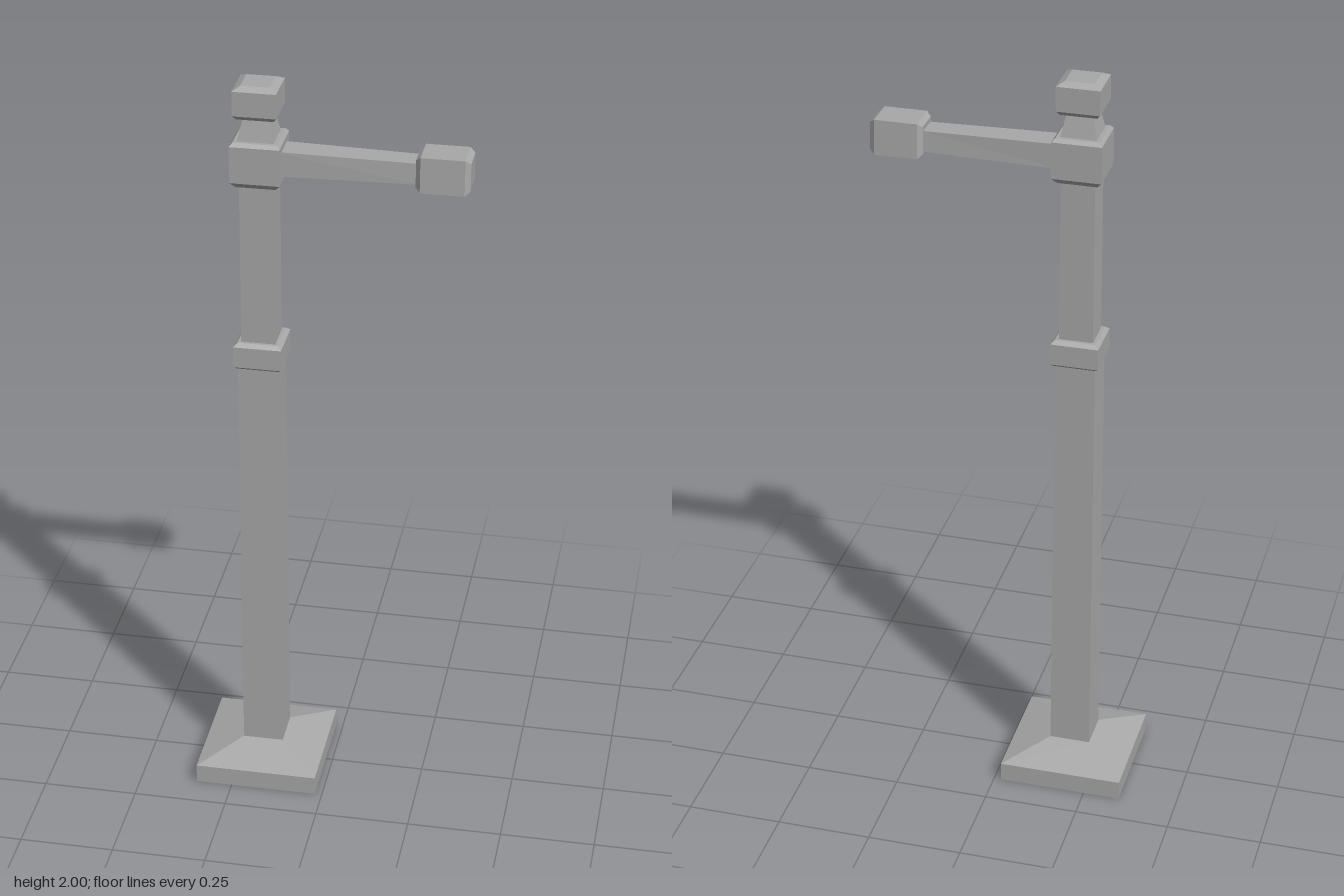
import * as THREE from 'three';

// Skin a run of four-cornered rings (counter-clockwise around the run), with end caps
function loft(rings) {
  const pos = [];
  const quad = (a, b, c, d) => pos.push(...a, ...b, ...c, ...a, ...c, ...d);
  for (let k = 0; k < rings.length - 1; k++) {
    const lo = rings[k], hi = rings[k + 1];
    for (let i = 0; i < 4; i++) {
      const j = (i + 1) % 4;
      quad(lo[i], lo[j], hi[j], hi[i]);
    }
  }
  const first = rings[0], last = rings[rings.length - 1];
  quad(first[3], first[2], first[1], first[0]);
  quad(...last);
  const geo = new THREE.BufferGeometry();
  geo.setAttribute('position', new THREE.Float32BufferAttribute(pos, 3));
  geo.computeVertexNormals();
  return geo;
}

// Square ring at height y with half width h
const square = ([y, h]) => [[h, y, h], [h, y, -h], [-h, y, -h], [-h, y, h]];

// Upright trapezoid ring at x: bottom, top, half depth at the bottom and at the top
const trapezoid = ([x, b, t, hb, ht]) => [[x, b, -hb], [x, t, -ht], [x, t, ht], [x, b, hb]];

export function createModel() {
  const model = new THREE.Group();
  model.name = 'signalPost';
  const grey = new THREE.MeshStandardMaterial({ color: 0xa8a8a8, flatShading: true });
  grey.name = 'stone grey';

  const postX = -0.183;
  const add = (name, geo, x = 0) => {
    const mesh = new THREE.Mesh(geo, grey);
    mesh.name = name;
    mesh.position.x = x;
    model.add(mesh);
  };

  // Upright parts, each as [height, half width] steps
  const uprights = {
    base: [[0, 0.164], [0.052, 0.164], [0.088, 0.054]],
    lowerPost: [[0.08, 0.054], [1.24, 0.052]],
    collar: [[1.233, 0.054], [1.24, 0.062], [1.297, 0.062], [1.306, 0.052]],
    upperPost: [[1.3, 0.044], [1.75, 0.043]],
    headBlock: [[1.737, 0.05], [1.752, 0.063], [1.848, 0.063], [1.857, 0.055]],
    neck: [[1.85, 0.047], [1.918, 0.032]],
    cap: [[1.915, 0.046], [1.926, 0.055], [1.99, 0.055], [2, 0.037]],
  };
  for (const [name, steps] of Object.entries(uprights)) add(name, loft(steps.map(square)), postX);

  // Side arm and the block at its tip
  add('arm', loft([
    [-0.14, 1.767, 1.832, 0.036, 0.035],
    [0.22, 1.772, 1.826, 0.033, 0.03],
  ].map(trapezoid)));
  add('armEnd', loft([
    [0.212, 1.767, 1.838, 0.038, 0.034],
    [0.224, 1.757, 1.848, 0.049, 0.044],
    [0.334, 1.757, 1.848, 0.049, 0.044],
    [0.347, 1.767, 1.838, 0.04, 0.036],
  ].map(trapezoid)));

  return model;
}
